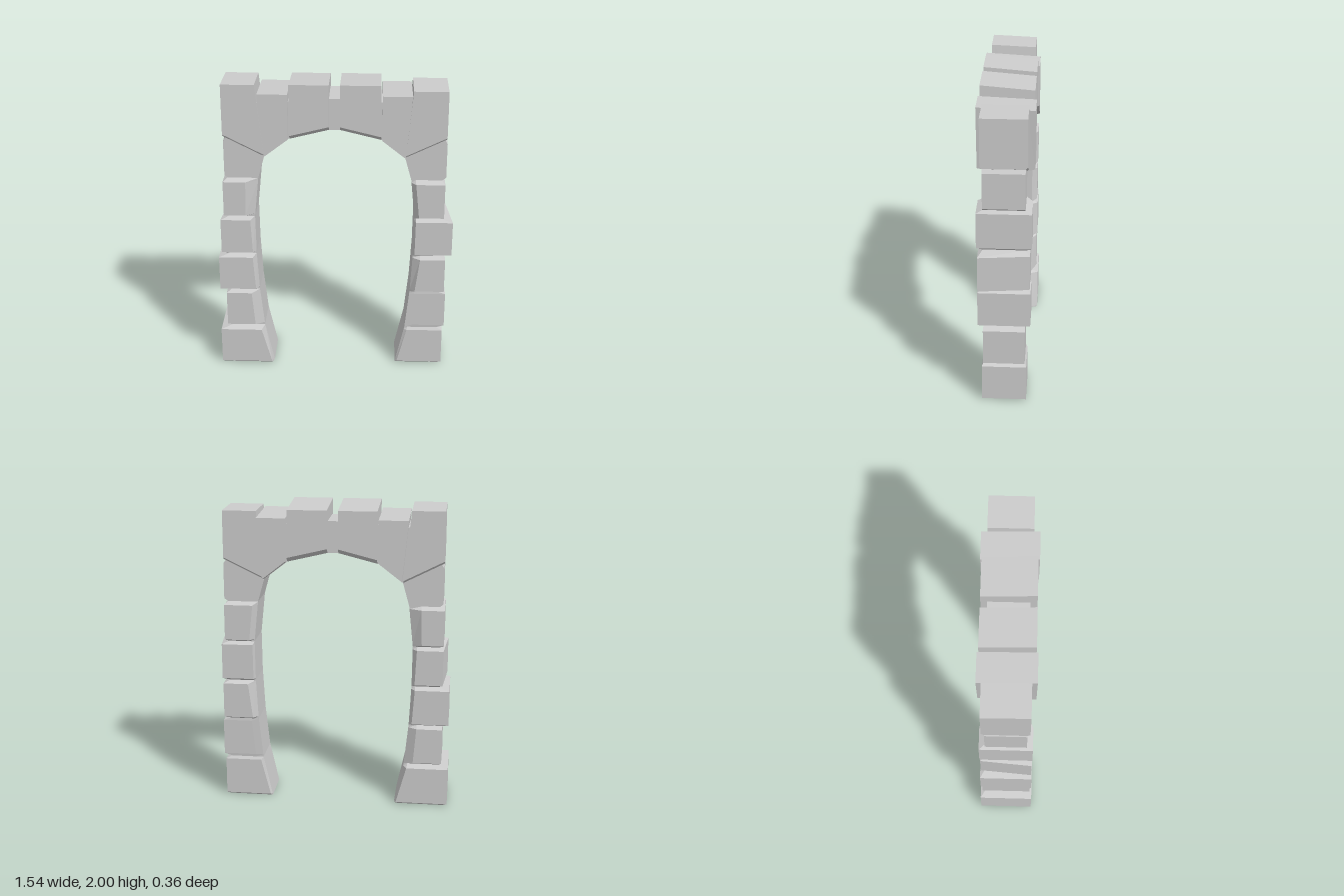
import * as THREE from 'three';

const material = new THREE.MeshStandardMaterial({ color: 0xcccccc, flatShading: true });
const CORE = 0.13; // half depth of the recessed joints and inner face

// Skin a list of equal-length rings and cap both ends
function loft(name, rings) {
  const pos = [];
  const tri = (a, b, c) => pos.push(...a, ...b, ...c);
  const n = rings[0].length;
  for (let r = 0; r < rings.length - 1; r++) {
    const a = rings[r], b = rings[r + 1];
    for (let i = 0; i < n; i++) {
      const j = (i + 1) % n;
      tri(a[i], a[j], b[j]);
      tri(a[i], b[j], b[i]);
    }
  }
  const first = rings[0], last = rings[rings.length - 1];
  for (let i = 1; i < n - 1; i++) {
    tri(first[0], first[i + 1], first[i]);
    tri(last[0], last[i], last[i + 1]);
  }
  const g = new THREE.BufferGeometry();
  g.setAttribute('position', new THREE.Float32BufferAttribute(pos, 3));
  g.computeVertexNormals();
  const mesh = new THREE.Mesh(g, material);
  mesh.name = name;
  return mesh;
}

// Joint heights (inner edge, outer edge) and inner x of the opening
const joints = [
  { x: 0.415, yi: 0, yo: 0 },
  { x: 0.475, yi: 0.275, yo: 0.275 },
  { x: 0.503, yi: 0.55, yo: 0.55 },
  { x: 0.517, yi: 0.82, yo: 0.82 },
  { x: 0.52, yi: 1.09, yo: 1.09 },
  { x: 0.492, yi: 1.36, yo: 1.36 },
  { x: 0.45, yi: 1.51, yo: 1.645 },
];

// Per stone: front outer x, back outer x, half depth, shoulder offset (bottom, top)
const pillars = {
  left: [
    [0.77, 0.77, 0.178, 0.01, 0.025],
    [0.725, 0.725, 0.165, 0.06, 0.055],
    [0.765, 0.765, 0.17, 0.02, 0.025],
    [0.745, 0.72, 0.165, 0.02, 0.03],
    [0.72, 0.72, 0.168, 0.06, 0.08],
    [0.71, 0.71, 0.13, 0.09, 0.11],
  ],
  right: [
    [0.73, 0.73, 0.142, 0.01, 0.02],
    [0.742, 0.742, 0.132, 0.05, 0.05],
    [0.73, 0.73, 0.165, 0.03, 0.05],
    [0.77, 0.735, 0.16, 0.01, 0.01],
    [0.71, 0.71, 0.17, 0.03, 0.03],
    [0.715, 0.715, 0.13, 0.09, 0.11],
  ],
};

// Six-sided pillar stone, pinched to the joint size at both ends
function pillarStone(name, side, index, [front, back, d, sLow, sHigh]) {
  const lo = joints[index], hi = joints[index + 1];
  const jointX = 0.69;
  const ring = (t, xf, xb, depth, inset) => {
    const x = THREE.MathUtils.lerp(lo.x, hi.x, t);
    const s = x + THREE.MathUtils.lerp(sLow, sHigh, t);
    const yi = THREE.MathUtils.lerp(lo.yi, hi.yi, t);
    const yo = (t < 0.5 ? lo.yo : hi.yo) + inset;
    const k = (s - x) / (xf - x);
    const ys = THREE.MathUtils.lerp(yi, yo, inset ? Math.max(k, 0.5) : k);
    const pts = [
      [xf, yo, depth], [xb, yo, -depth], [s, ys, -depth],
      [x, yi, -CORE], [x, yi, CORE], [s, ys, depth],
    ].map(([px, y, z]) => [side * px, y, z]);
    return side > 0 ? pts : pts.reverse();
  };
  const h = hi.yi - lo.yi;
  const bevel = index === 0 ? 0.01 : 0.018;
  const foot = index === 0 ? front - 0.025 : jointX;
  return loft(name, [
    ring(0, foot, foot, index === 0 ? d - 0.01 : CORE, 0),
    ring(bevel / h, front, back, d, bevel),
    ring(1 - 0.018 / h, front, back, d, index === 5 ? -0.035 : -0.018),
    ring(1, jointX, jointX, CORE, 0),
  ]);
}

// Arch stone: corners counter-clockwise from bottom left, lower edge chamfered to the core
function archStone(name, corners, d, slope, lift) {
  const ring = z => corners.map(([x, y], i) => {
    if (i < 2) return [x, y + (Math.abs(z) > CORE ? lift : 0), z];
    return [x, y - slope * (d - z) / (2 * d), z];
  });
  return loft(name, [-d, -CORE, CORE, d].map(ring));
}

export function createModel() {
  const model = new THREE.Group();
  model.name = 'stoneArch';

  // Two pillars of uneven stones
  for (const [label, side] of [['left', 1], ['right', -1]]) {
    const pillar = new THREE.Group();
    pillar.name = label + 'Pillar';
    // The model's left is +x
    const stones = side > 0 ? pillars.right : pillars.left;
    stones.forEach((s, i) => pillar.add(pillarStone(label + 'PillarStone' + (i + 1), side, i, s)));
    model.add(pillar);
  }

  // Recessed core that shows in the gaps of the arch
  const half = [[0.035, 1.695], [0.295, 1.632], [0.45, 1.512], [0.66, 1.63], [0.66, 1.86], [0.3, 1.88], [0.035, 1.9]];
  const outline = [...half, ...half.map(([x, y]) => [-x, y]).reverse()];
  const shape = new THREE.Shape(outline.map(p => new THREE.Vector2(...p)));
  const coreGeometry = new THREE.ExtrudeGeometry(shape, { depth: 2 * CORE - 0.002, bevelEnabled: false });
  coreGeometry.translate(0, 0, -CORE + 0.001);
  const core = new THREE.Mesh(coreGeometry, material);
  core.name = 'archCore';
  model.add(core);

  // Wedge stones across the top
  const arch = new THREE.Group();
  arch.name = 'archStones';
  arch.add(
    archStone('rightCornerStone', [[-0.712, 1.645], [-0.452, 1.512], [-0.5, 1.99], [-0.712, 1.99]], 0.147, 0.012, 0.015),
    archStone('rightWedgeStone', [[-0.445, 1.515], [-0.293, 1.632], [-0.293, 1.94], [-0.483, 1.94]], 0.18, 0.02, 0.012),
    archStone('rightTopStone', [[-0.285, 1.632], [-0.035, 1.695], [-0.035, 2], [-0.285, 2]], 0.17, 0.027, 0.032),
    archStone('leftTopStone', [[0.035, 1.695], [0.295, 1.632], [0.29, 2], [0.035, 2]], 0.17, 0.027, 0.032),
    archStone('leftWedgeStone', [[0.303, 1.63], [0.452, 1.512], [0.487, 1.935], [0.3, 1.935]], 0.18, 0.015, 0.012),
    archStone('leftCornerStone', [[0.455, 1.515], [0.712, 1.64], [0.712, 1.957], [0.493, 1.957]], 0.142, 0, 0.012),
  );
  model.add(arch);
  return model;
}
